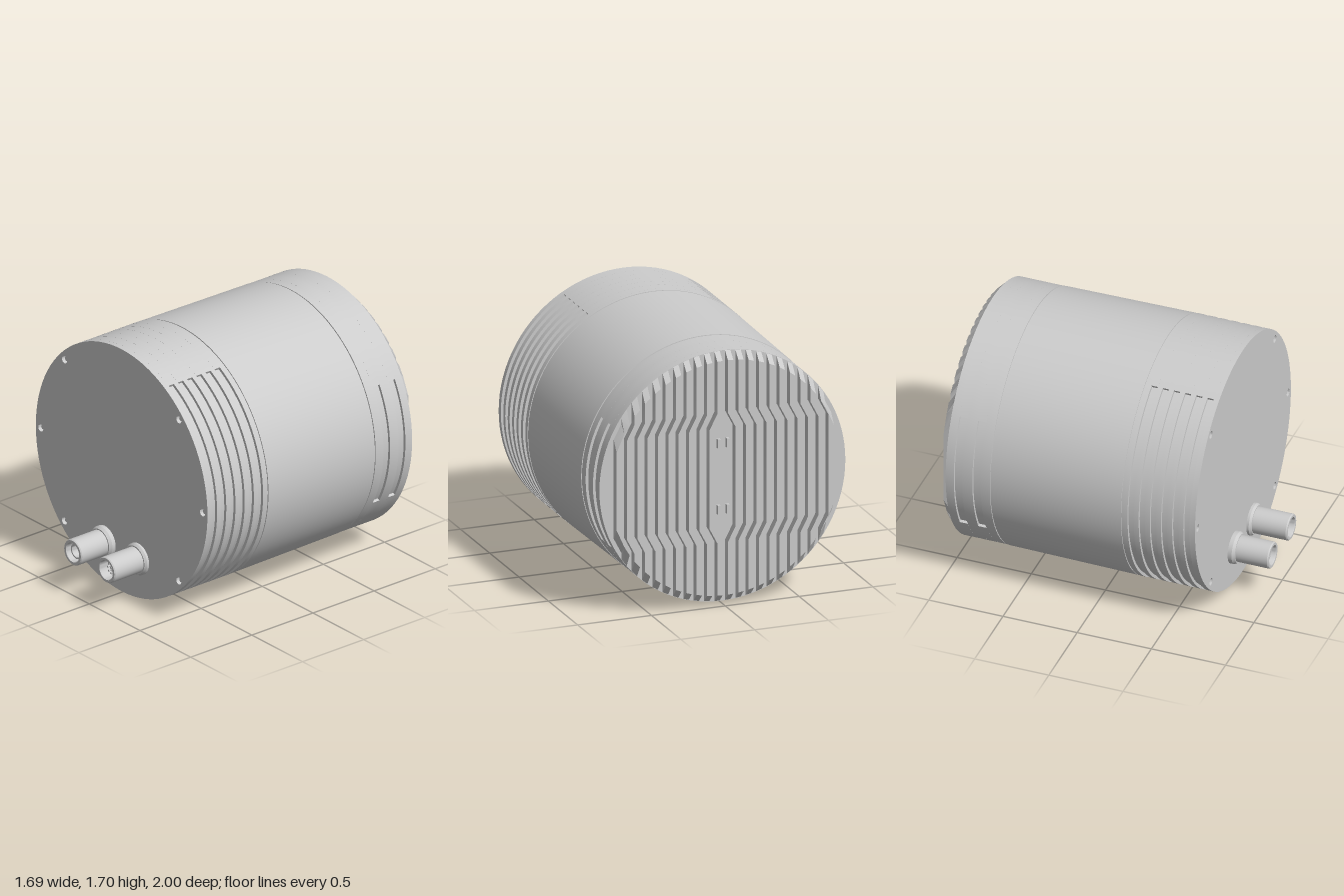
import * as THREE from 'three';
import { toCreasedNormals } from 'three/addons/utils/BufferGeometryUtils.js';

const R = 0.846;        // front band radius
const RB = 0.833;       // rear band radius
const BACK = -0.95;     // floor of the rear fins

export function createModel() {
  const model = new THREE.Group();
  const body = new THREE.Group();
  body.name = 'body';
  body.position.y = 0.853;
  model.add(body);
  const mat = new THREE.MeshStandardMaterial({ color: 0xcccccc });

  function add(name, geo, parent = body) {
    const mesh = new THREE.Mesh(toCreasedNormals(geo, 0.5), mat);
    mesh.name = name;
    parent.add(mesh);
    return mesh;
  }

  // Cylinder along z, radius rf at the front end and rb at the rear end
  function drum(name, rf, rb, z0, z1, parent = body, sides = 96) {
    const g = new THREE.CylinderGeometry(rf, rb, z1 - z0, sides).rotateX(Math.PI / 2);
    g.translate(0, 0, (z0 + z1) / 2);
    return add(name, g, parent);
  }

  function slab(shape, z0, z1, curveSegments = 24) {
    const g = new THREE.ExtrudeGeometry(shape, { depth: z1 - z0, bevelEnabled: false, curveSegments });
    return g.translate(0, 0, z0);
  }

  // Disc whose left and right sides are cut back to a smaller radius
  function groovedDisc(r, depth, halfHeight) {
    const a = Math.asin(halfHeight / r), P = Math.PI;
    const s = new THREE.Shape();
    s.absarc(0, 0, r - depth, -a, a);
    s.absarc(0, 0, r, a, P - a);
    s.absarc(0, 0, r - depth, P - a, P + a);
    s.absarc(0, 0, r, P + a, 2 * P - a);
    s.closePath();
    return s;
  }

  function hole(x, y, r) {
    return new THREE.Path().absarc(x, y, r, 0, Math.PI * 2, true);
  }

  // Front plate with six screw recesses
  const plate = new THREE.Shape().absarc(0, 0, R, 0, Math.PI * 2);
  const screwAngles = [0, 45, 135, 180, 225, 315].map(THREE.MathUtils.degToRad);
  for (const t of screwAngles) {
    const x = 0.797 * Math.cos(t), y = 0.797 * Math.sin(t);
    plate.holes.push(hole(x, y, 0.025));
    const screw = drum('screw', 0.014, 0.02, 0.69, 0.72, body, 16);
    screw.position.set(x, y, 0);
  }
  add('frontPlate', slab(plate, 0.698, 0.735, 48));

  // Front band: six side grooves separated by full ridges
  const frontGroove = groovedDisc(R, 0.02, 0.735);
  for (let i = 0; i < 6; i++) {
    const z = 0.28 + i * 0.0752;
    add('frontGroove', slab(frontGroove, z, z + 0.042));
    if (i < 5) drum('frontRidge', R, R, z + 0.042, z + 0.0752);
  }
  drum('frontBandRear', R, R, 0.243, 0.28);

  // Tapered middle with a thin seam at both ends
  drum('frontSeam', R - 0.008, R - 0.008, 0.235, 0.243);
  drum('middleBody', R - 0.001, RB + 0.002, -0.644, 0.235);
  drum('rearSeam', RB - 0.008, RB - 0.008, -0.652, -0.644);

  // Rear band: two shorter side grooves
  const rearGroove = groovedDisc(RB, 0.018, 0.405);
  const rearCuts = [-0.652, -0.715, -0.77, -0.84, -0.895, BACK];
  for (let i = 0; i < 5; i++) {
    const z1 = rearCuts[i], z0 = rearCuts[i + 1];
    if (i % 2) add('rearGroove', slab(rearGroove, z0, z1));
    else drum('rearRidge', RB, RB, z0, z1);
  }

  // Rear cooling fins: vertical, stepped outward in the middle, ends chamfered
  const limit = (x, r) => Math.sqrt(Math.max(r * r - x * x, 0));
  function finGeometry(x, side) {
    const w = 0.018, shift = 0.052, path = [];
    const end = Math.max(limit(x, RB), 0.44);
    for (const [dx, y] of [[0, -end - 0.02], [0, -0.43], [shift, -0.33], [shift, 0.33], [0, 0.43], [0, end + 0.02]])
      path.push([x + dx, y]);
    const outline = [
      ...path.map(([px, y]) => new THREE.Vector2(side * (px + w), y)),
      ...path.map(([px, y]) => new THREE.Vector2(side * (px - w), y)).reverse(),
    ];
    const g = slab(new THREE.Shape(outline), -1, BACK);
    const p = g.attributes.position;
    for (let i = 0; i < p.count; i++) {
      const r = p.getZ(i) < -0.99 ? 0.78 : RB - 0.002;
      const m = limit(p.getX(i), r);
      p.setY(i, THREE.MathUtils.clamp(p.getY(i), -m, m));
    }
    g.computeVertexNormals();
    return g;
  }
  const fins = new THREE.Group();
  fins.name = 'coolingFins';
  body.add(fins);
  for (const side of [-1, 1])
    for (let i = 0; i < 10; i++) add('fin', finGeometry(0.036 + i * 0.07, side), fins);

  // Small tabs in the opening between the fins
  for (const x of [-0.03, 0.03])
    for (const y of [-0.22, 0.22])
      add('tab', new THREE.BoxGeometry(0.02, 0.06, 0.03).translate(x, y, -0.96));

  // Connectors: flange, hollow barrel and socket insert
  function connector(name, x, flangeDepth) {
    const g = new THREE.Group();
    g.name = name;
    g.position.set(x, -0.556, 0);
    body.add(g);
    const profile = [
      [0, 0.73], [0.106, 0.73], [0.106, 0.73 + flangeDepth * 0.7], [0.095, 0.735 + flangeDepth],
      [0.087, 0.735 + flangeDepth], [0.087, 0.992], [0.082, 1], [0.066, 1], [0.062, 0.99], [0.062, 0.88], [0, 0.88],
    ].map(([r, z]) => new THREE.Vector2(r, z));
    add('barrel', new THREE.LatheGeometry(profile, 40).rotateX(Math.PI / 2).scale(1, 1, 1), g)
      .material.side = THREE.DoubleSide;
    return g;
  }
  const socket = connector('leftSocket', -0.165, 0.045);
  const sleeve = new THREE.Shape().absarc(0, 0, 0.052, 0, Math.PI * 2);
  sleeve.holes.push(hole(0, 0, 0.042));
  add('sleeve', slab(sleeve, 0.88, 0.97, 16), socket);
  for (const x of [-0.018, 0.018])
    add('key', new THREE.BoxGeometry(0.014, 0.008, 0.04).translate(x, -0.02, 0.9), socket);

  const plug = connector('rightSocket', 0.165, 0.03);
  drum('insert', 0.05, 0.05, 0.87, 0.93, plug, 32);
  for (let i = 0; i < 9; i++) {
    const t = (i / 8) * Math.PI * 2, r = i < 8 ? 0.034 : 0;
    const pin = drum('pin', 0.007, 0.007, 0.92, 0.96, plug, 10);
    pin.position.set(r * Math.cos(t), r * Math.sin(t), 0);
  }

  // Round cap under the front band
  const cap = new THREE.CylinderGeometry(0.092, 0.092, 0.03, 40).translate(0, -0.835, 0.6);
  add('bottomCap', cap);
  const rim = new THREE.TorusGeometry(0.1, 0.007, 8, 48).rotateX(Math.PI / 2).translate(0, -0.846, 0.6);
  add('bottomCapRim', rim);

  return model;
}
